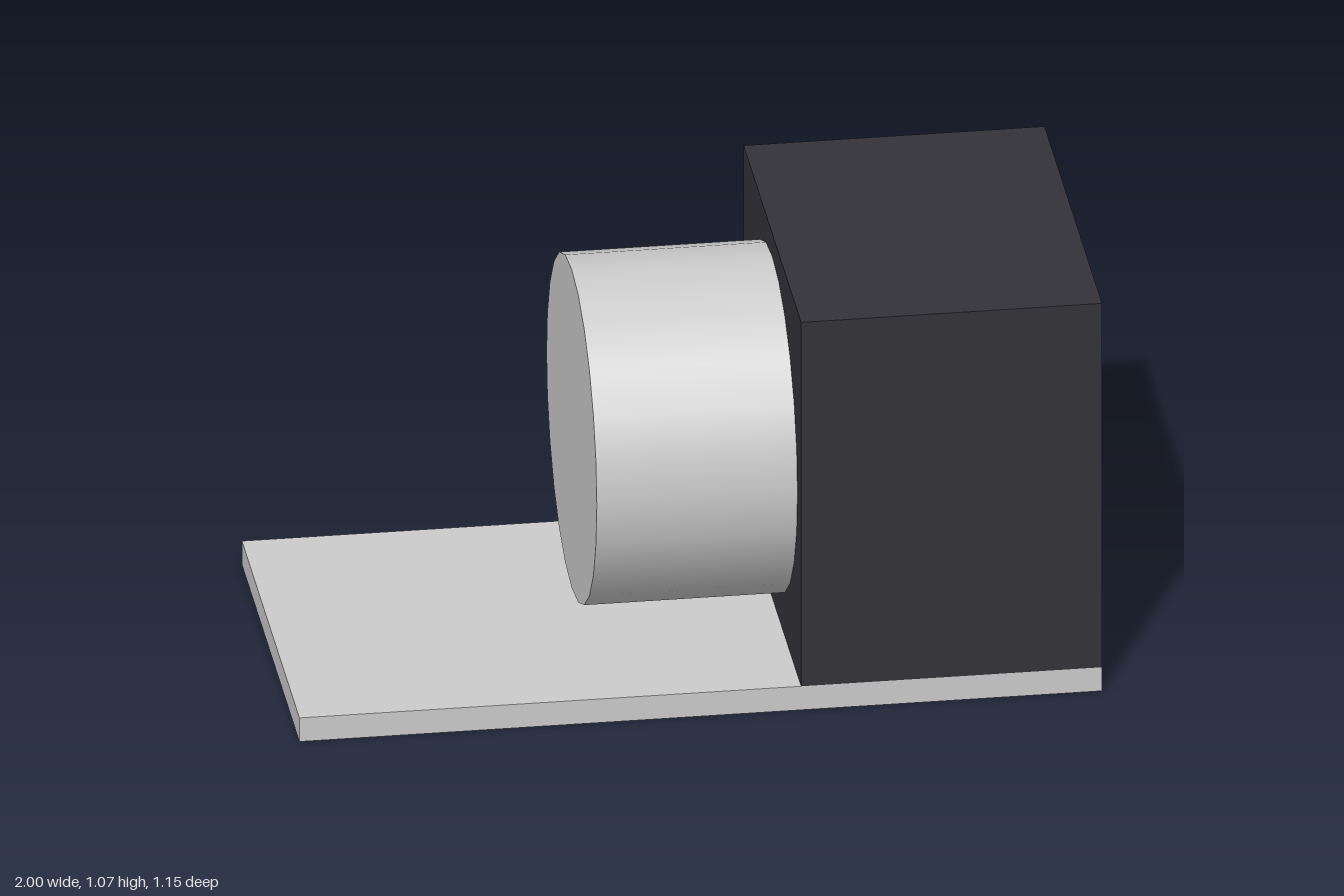
import * as THREE from 'three';

export function createModel() {
  const group = new THREE.Group();
  const grey = new THREE.MeshStandardMaterial({ color: 0xcccccc });
  const dark = new THREE.MeshStandardMaterial({ color: 0x333238 });
  const midY = 0.565, midZ = 0.075;

  function add(name, geometry, material, x, y, z) {
    const mesh = new THREE.Mesh(geometry, material);
    mesh.name = name;
    mesh.position.set(x, y, z);
    group.add(mesh);
    return mesh;
  }

  // Flat base plate with the housing block at its left end
  add('basePlate', new THREE.BoxGeometry(2, 0.065, 1), grey, 0, 0.0325, midZ);
  add('housing', new THREE.BoxGeometry(0.75, 1, 1), dark, 0.625, midY, midZ);

  // Drum running through the housing; its end sits a hair proud of the far face
  const x0 = -0.25, x1 = 1.001;
  const drum = add('drum', new THREE.CylinderGeometry(0.4375, 0.4375, x1 - x0, 24),
    grey, (x0 + x1) / 2, midY, midZ);
  drum.rotation.z = Math.PI / 2;

  // Two short connectors on the back of the housing
  for (const [name, side] of [['rightConnector', -1], ['leftConnector', 1]]) {
    const connector = add(name, new THREE.CylinderGeometry(0.1, 0.1, 0.15, 24),
      grey, 0.625 + side * 0.1875, midY, -0.5);
    connector.rotation.x = Math.PI / 2;
  }

  return group;
}
